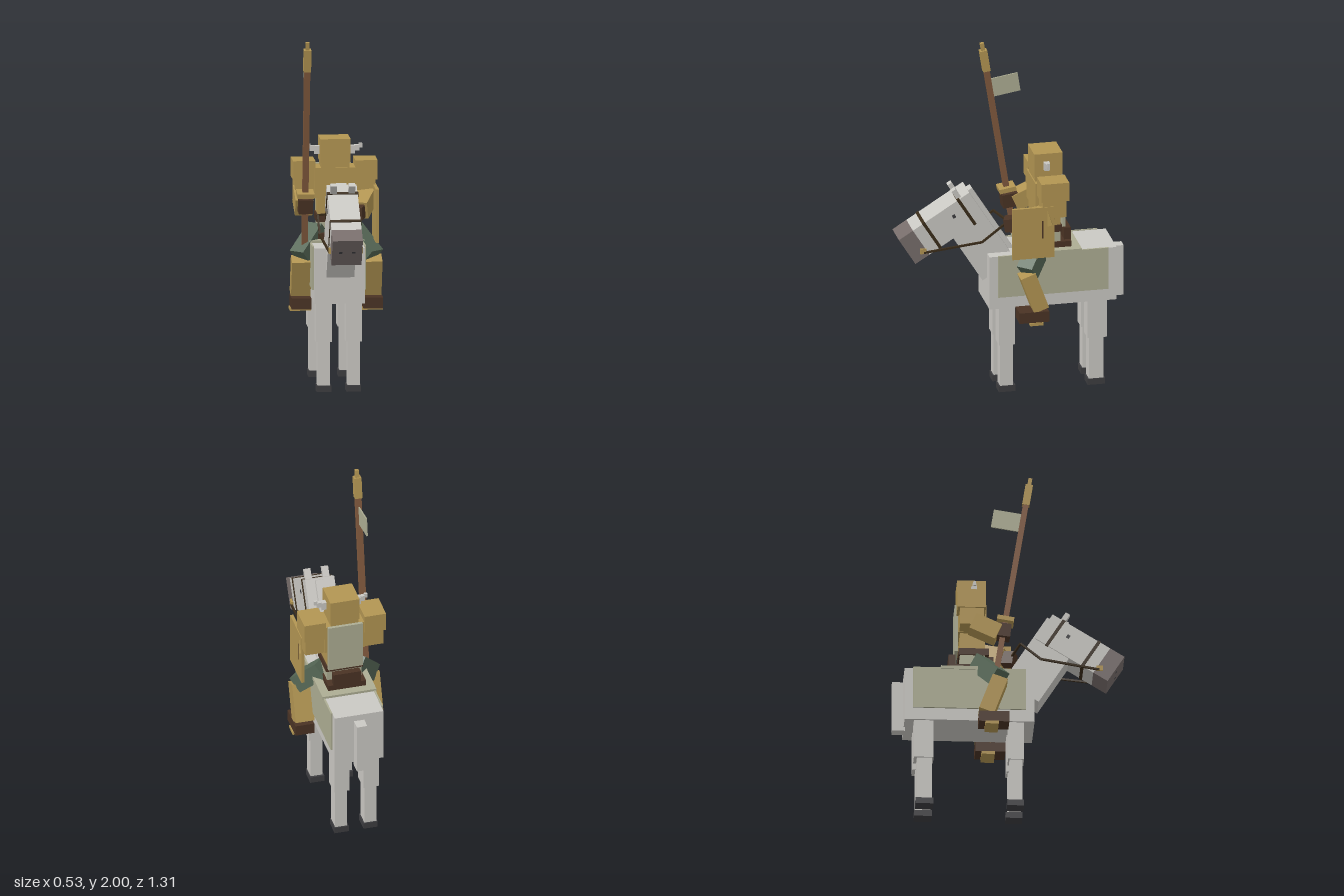
import * as THREE from 'three';

const paint = (name, color) => {
  const m = new THREE.MeshStandardMaterial({ color });
  m.name = name;
  return m;
};

export function createModel() {
  const coat = paint('pale coat', 0xcac8c3);
  const gold = paint('gold armour', 0xb29552);
  const khaki = paint('khaki cloth', 0xadad93);
  const leather = paint('dark leather', 0x4a3324);
  const wood = paint('lance wood', 0x80593d);
  const green = paint('green cloth', 0x566856);
  const muzzleGrey = paint('muzzle grey', 0x776d6b);
  const hoofGrey = paint('hoof grey', 0x3d3d40);
  const strapBrown = paint('strap brown', 0x3a2c1a);

  const model = new THREE.Group();
  model.name = 'mountedKnight';
  const group = (name) => {
    const g = new THREE.Group();
    g.name = name;
    model.add(g);
    return g;
  };

  // Box given by its extents on each axis
  const box = (parent, name, mat, [x0, x1], [y0, y1], [z0, z1]) => {
    const mesh = new THREE.Mesh(new THREE.BoxGeometry(x1 - x0, y1 - y0, z1 - z0), mat);
    mesh.position.set((x0 + x1) / 2, (y0 + y1) / 2, (z0 + z1) / 2);
    mesh.name = name;
    parent.add(mesh);
    return mesh;
  };
  // Same box on both sides
  const pair = (parent, name, mat, [x0, x1], y, z) => {
    box(parent, name + 'Left', mat, [x0, x1], y, z);
    box(parent, name + 'Right', mat, [-x1, -x0], y, z);
  };
  // Square bar from point a to point b
  const bar = (parent, name, mat, a, b, w, h = w) => {
    const p = new THREE.Vector3(...a), q = new THREE.Vector3(...b);
    const mesh = new THREE.Mesh(new THREE.BoxGeometry(w, h, p.distanceTo(q)), mat);
    mesh.position.copy(p).add(q).multiplyScalar(0.5);
    mesh.lookAt(q);
    mesh.name = name;
    parent.add(mesh);
    return mesh;
  };

  // Horse body, tail and legs
  const horse = group('horse');
  box(horse, 'horseBody', coat, [-0.142, 0.142], [0.512, 0.828], [-0.588, 0.143]);
  box(horse, 'tail', coat, [-0.03, 0.03], [0.49, 0.79], [-0.653, -0.58]);
  for (const [name, z0, z1] of [['frontLeg', -0.005, 0.085], ['hindLeg', -0.535, -0.424]]) {
    const mid = name === 'frontLeg' ? [0.003, 0.077] : [-0.518, -0.433];
    const hoof = name === 'frontLeg' ? [-0.01, 0.085] : [-0.525, -0.425];
    pair(horse, name + 'Upper', coat, [0.04, 0.13], [0.285, 0.52], [z0, z1]);
    pair(horse, name + 'Lower', coat, [0.05, 0.12], [0.03, 0.29], mid);
    pair(horse, name + 'Hoof', hoofGrey, [0.043, 0.125], [0, 0.036], hoof);
  }

  // Tilted head and neck: origin at the top front edge of the muzzle
  const head = group('horseHead');
  head.position.set(0, 0.954, 0.652);
  head.rotation.x = 0.5585;
  box(head, 'muzzle', muzzleGrey, [-0.085, 0.085], [-0.18, 0], [-0.095, 0]);
  box(head, 'skull', coat, [-0.085, 0.085], [-0.18, 0], [-0.477, -0.095]);
  box(head, 'neck', coat, [-0.079, 0.079], [-0.5, -0.117], [-0.477, -0.257]);
  box(head, 'mane', coat, [-0.03, 0.03], [-0.485, -0.01], [-0.503, -0.47]);
  pair(head, 'ear', coat, [0.033, 0.07], [-0.058, 0.058], [-0.425, -0.397]);
  pair(head, 'eye', hoofGrey, [0.082, 0.087], [-0.08, -0.058], [-0.34, -0.322]);
  pair(head, 'nostril', hoofGrey, [0.028, 0.046], [-0.093, -0.081], [-0.004, 0.002]);
  for (const z of [-0.168, -0.403]) {
    box(head, 'bridleStrap', strapBrown, [-0.089, 0.089], [-0.184, 0.004], [z - 0.009, z + 0.009]);
  }
  pair(horse, 'bit', gold, [0.083, 0.096], [0.862, 0.892], [0.495, 0.53]);

  // Reins running to the left hand
  const reins = [
    [[0.092, 0.868, 0.51], [0.115, 0.913, 0.18], [0.115, 1.0, 0.065], [0.1, 1.015, 0.03]],
    [[-0.092, 0.868, 0.51], [-0.117, 0.913, 0.18], [-0.118, 1.005, 0.065], [0.08, 1.015, 0.025]],
  ];
  for (const path of reins) {
    for (let i = 0; i < 3; i++) bar(horse, 'rein', strapBrown, path[i], path[i + 1], 0.011);
  }

  // Blanket and saddle
  const tack = group('saddle');
  pair(tack, 'blanketSide', khaki, [0.142, 0.152], [0.583, 0.832], [-0.54, 0.095]);
  box(tack, 'saddleCloth', khaki, [-0.157, 0.157], [0.822, 0.842], [-0.385, -0.045]);
  box(tack, 'saddleSeat', leather, [-0.11, 0.11], [0.842, 0.875], [-0.335, -0.09]);
  box(tack, 'cantle', leather, [-0.08, 0.08], [0.87, 0.945], [-0.338, -0.3]);
  box(tack, 'pommel', leather, [-0.06, 0.06], [0.87, 0.945], [-0.12, -0.085]);

  // Rider's torso and helmet
  const rider = group('rider');
  box(rider, 'tunicSkirt', khaki, [-0.1, 0.1], [0.865, 0.935], [-0.275, -0.135]);
  box(rider, 'belt', leather, [-0.108, 0.108], [0.935, 0.975], [-0.282, -0.112]);
  box(rider, 'waist', gold, [-0.1, 0.1], [0.975, 1.08], [-0.275, -0.135]);
  box(rider, 'breastplate', gold, [-0.117, 0.117], [1.07, 1.24], [-0.285, -0.127]);
  box(rider, 'cape', khaki, [-0.1, 0.1], [0.96, 1.245], [-0.304, -0.286]);
  box(rider, 'visor', gold, [-0.08, 0.08], [1.235, 1.28], [-0.285, -0.133]);
  box(rider, 'helmet', gold, [-0.085, 0.085], [1.27, 1.404], [-0.29, -0.127]);
  pair(rider, 'hornBase', coat, [0.08, 0.115], [1.312, 1.358], [-0.211, -0.179]);
  pair(rider, 'hornMiddle', coat, [0.11, 0.14], [1.328, 1.36], [-0.206, -0.184]);
  pair(rider, 'hornTip', coat, [0.135, 0.156], [1.345, 1.37], [-0.202, -0.188]);

  // Arms
  pair(rider, 'pauldron', gold, [0.113, 0.238], [1.17, 1.28], [-0.295, -0.135]);
  pair(rider, 'upperArm', gold, [0.12, 0.228], [1.07, 1.18], [-0.28, -0.145]);
  bar(rider, 'forearmLeft', gold, [0.19, 1.08, -0.2], [0.122, 1.015, -0.015], 0.1);
  bar(rider, 'handLeft', leather, [0.122, 1.015, -0.02], [0.098, 1.005, 0.045], 0.075);
  bar(rider, 'forearmRight', gold, [-0.185, 1.09, -0.21], [-0.183, 1.025, -0.065], 0.1);
  bar(rider, 'handRight', leather, [-0.18, 1.05, -0.085], [-0.178, 1.04, 0.005], 0.08);

  // Legs, boots and stirrups
  for (const s of [1, -1]) {
    const side = s > 0 ? 'Left' : 'Right';
    bar(rider, 'thigh' + side, green, [s * 0.09, 0.89, -0.17], [s * 0.205, 0.745, -0.06], 0.1);
    const shin = box(rider, 'shin' + side, gold, [-0.055, 0.055], [-0.112, 0.112], [-0.045, 0.045]);
    shin.position.set(s * 0.2, 0.632, -0.094);
    shin.rotation.x = 0.35;
  }
  pair(rider, 'boot', leather, [0.147, 0.257], [0.457, 0.52], [-0.175, -0.005]);
  pair(rider, 'stirrup', gold, [0.143, 0.263], [0.44, 0.457], [-0.14, -0.065]);
  pair(rider, 'stirrupStrap', leather, [0.145, 0.15], [0.45, 0.82], [-0.112, -0.095]);

  // Shield on the left arm
  const shield = group('shield');
  box(shield, 'shieldPlate', gold, [0.213, 0.232], [0.836, 1.14], [-0.21, 0.03]);
  box(shield, 'shieldRidge', leather, [0.23, 0.234], [0.955, 1.06], [-0.146, -0.14]);

  // Lance with guard, pennant and stepped point, leaning forward
  const lance = group('lance');
  lance.position.set(-0.18, 1.0, -0.042);
  lance.rotation.x = 0.158;
  box(lance, 'shaft', wood, [-0.017, 0.017], [-0.22, 0.85], [-0.016, 0.016]);
  box(lance, 'guard', gold, [-0.048, 0.048], [0.1, 0.126], [-0.048, 0.048]);
  box(lance, 'lanceHead', gold, [-0.021, 0.021], [0.84, 0.967], [-0.021, 0.021]);
  box(lance, 'lancePoint', gold, [-0.011, 0.011], [0.96, 1.011], [-0.011, 0.011]);
  box(lance, 'pennant', khaki, [-0.004, 0.004], [0.675, 0.785], [-0.172, -0.012]);

  return model;
}
